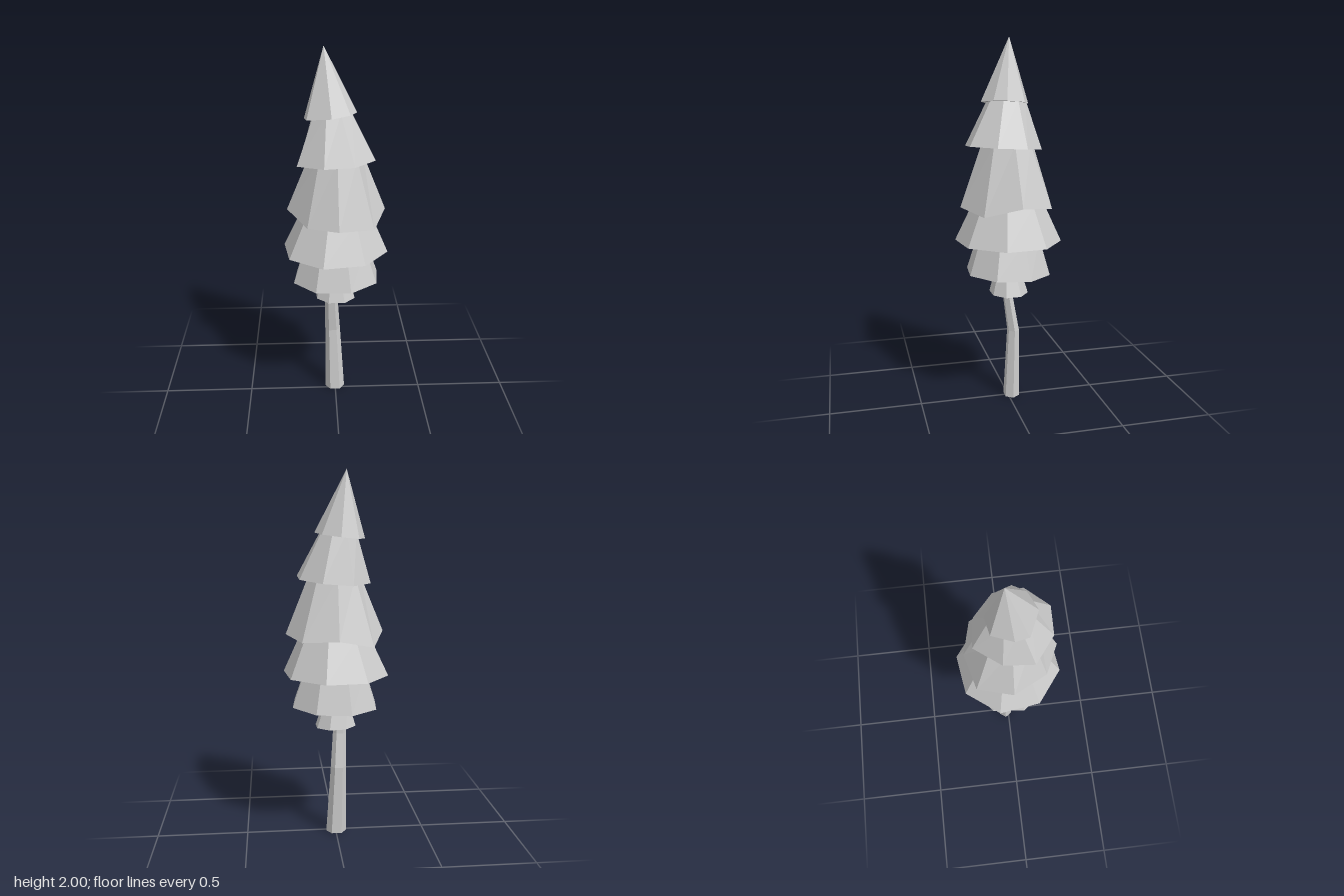
import * as THREE from 'three';

const material = new THREE.MeshStandardMaterial({ color: 0xcccccc, flatShading: true });

// Capped loft through closed rings listed from bottom to top.
function loft(name, rings) {
  const pos = [];
  const tri = (...pts) => pts.forEach((p) => pos.push(p.x, p.y, p.z));
  const centre = (ring) => ring.reduce((s, p) => s.add(p), new THREE.Vector3()).divideScalar(ring.length);
  const n = rings[0].length;
  const top = rings[rings.length - 1];
  const c0 = centre(rings[0]);
  const c1 = centre(top);
  for (let i = 0; i < n; i++) {
    const j = (i + 1) % n;
    for (let k = 0; k < rings.length - 1; k++) {
      const lo = rings[k], hi = rings[k + 1];
      tri(lo[i], hi[i], lo[j]);
      if (hi[i].distanceTo(hi[j]) > 1e-5) tri(hi[i], hi[j], lo[j]);
    }
    tri(c0, rings[0][i], rings[0][j]);
    if (top[0].distanceTo(top[1]) > 1e-5) tri(c1, top[j], top[i]);
  }
  const geo = new THREE.BufferGeometry();
  geo.setAttribute('position', new THREE.Float32BufferAttribute(pos, 3));
  geo.computeVertexNormals();
  const mesh = new THREE.Mesh(geo, material);
  mesh.name = name;
  return mesh;
}

// Regular outline as [x, z] pairs.
function outline(sides, cx, cz, rx, rz, phaseDeg) {
  return Array.from({ length: sides }, (_, i) => {
    const a = THREE.MathUtils.degToRad(phaseDeg) + (i * 2 * Math.PI) / sides;
    return [cx + rx * Math.cos(a), cz + rz * Math.sin(a)];
  });
}

// One skirt of foliage: tilted rim narrowing to a smaller ring (or a point).
function tier({ name, rim, y, tilt = [0, 0], bumps = [], top, topRadius }) {
  const low = rim.map(([x, z], i) =>
    new THREE.Vector3(x, y + tilt[0] * x + tilt[1] * z + (bumps[i] || 0), z));
  const mx = rim.reduce((s, p) => s + p[0], 0) / rim.length;
  const mz = rim.reduce((s, p) => s + p[1], 0) / rim.length;
  const high = rim.map(([x, z]) => {
    const d = Math.hypot(x - mx, z - mz);
    return new THREE.Vector3(
      top[0] + ((x - mx) / d) * topRadius, top[1], top[2] + ((z - mz) / d) * topRadius);
  });
  return loft(name, [low, high]);
}

export function createModel() {
  const tree = new THREE.Group();
  tree.name = 'tree';

  // Bent six-sided trunk: y, centre x, centre z, radius x, radius z
  const trunk = [
    [0, -0.002, -0.019, 0.056, 0.045],
    [0.39, -0.014, -0.033, 0.043, 0.034],
    [0.58, -0.022, -0.006, 0.037, 0.028],
    [0.7, -0.024, 0.0, 0.034, 0.028],
  ].map(([y, cx, cz, rx, rz]) =>
    outline(6, cx, cz, rx, rz, 0).map(([x, z]) => new THREE.Vector3(x, y, z)));
  tree.add(loft('trunk', trunk));

  // Foliage from bottom to top
  const tiers = [
    { name: 'foliageCollar', rim: outline(8, 0, -0.003, 0.115, 0.107, 20),
      y: 0.622, tilt: [-0.03, 0], top: [-0.005, 0.77, 0], topRadius: 0.065 },
    { name: 'foliageLowest', rim: outline(8, 0.004, 0.002, 0.245, 0.235, 28),
      y: 0.741, tilt: [0.02, 0.03], top: [0.003, 0.94, 0], topRadius: 0.175 },
    { name: 'foliageLower',
      rim: outline(8, 0, 0, 0.29, 0.29, 14.5),
      y: 0.917, tilt: [0.01, 0.01], top: [0.005, 1.13, 0], topRadius: 0.19 },
    { name: 'foliageMiddle',
      rim: [[0, -0.236], [0.19, -0.19], [0.27, -0.014], [0.197, 0.173],
        [0.01, 0.264], [-0.152, 0.19], [-0.259, 0.005], [-0.186, -0.186]],
      y: 1.115, bumps: [0.015, 0.005, 0.025, -0.025, 0, -0.005, 0.035, -0.025],
      top: [0.005, 1.45, 0.005], topRadius: 0.14 },
    { name: 'foliageUpper',
      rim: [[-0.077, -0.184], [0.08, -0.164], [0.195, -0.057], [0.202, 0.102],
        [0.09, 0.223], [-0.064, 0.22], [-0.2, 0.114], [-0.184, -0.045]],
      y: 1.425, tilt: [0.06, 0.06], top: [-0.015, 1.68, 0.005], topRadius: 0.1 },
    { name: 'foliageTip',
      rim: [[-0.02, -0.116], [0.077, -0.071], [0.11, 0.03], [0.073, 0.095],
        [-0.023, 0.141], [-0.148, 0.086], [-0.16, 0.014], [-0.116, -0.095]],
      y: 1.662, tilt: [0.11, 0.05], top: [-0.057, 2, -0.02], topRadius: 0 },
  ];
  tiers.forEach((t) => tree.add(tier(t)));
  return tree;
}
